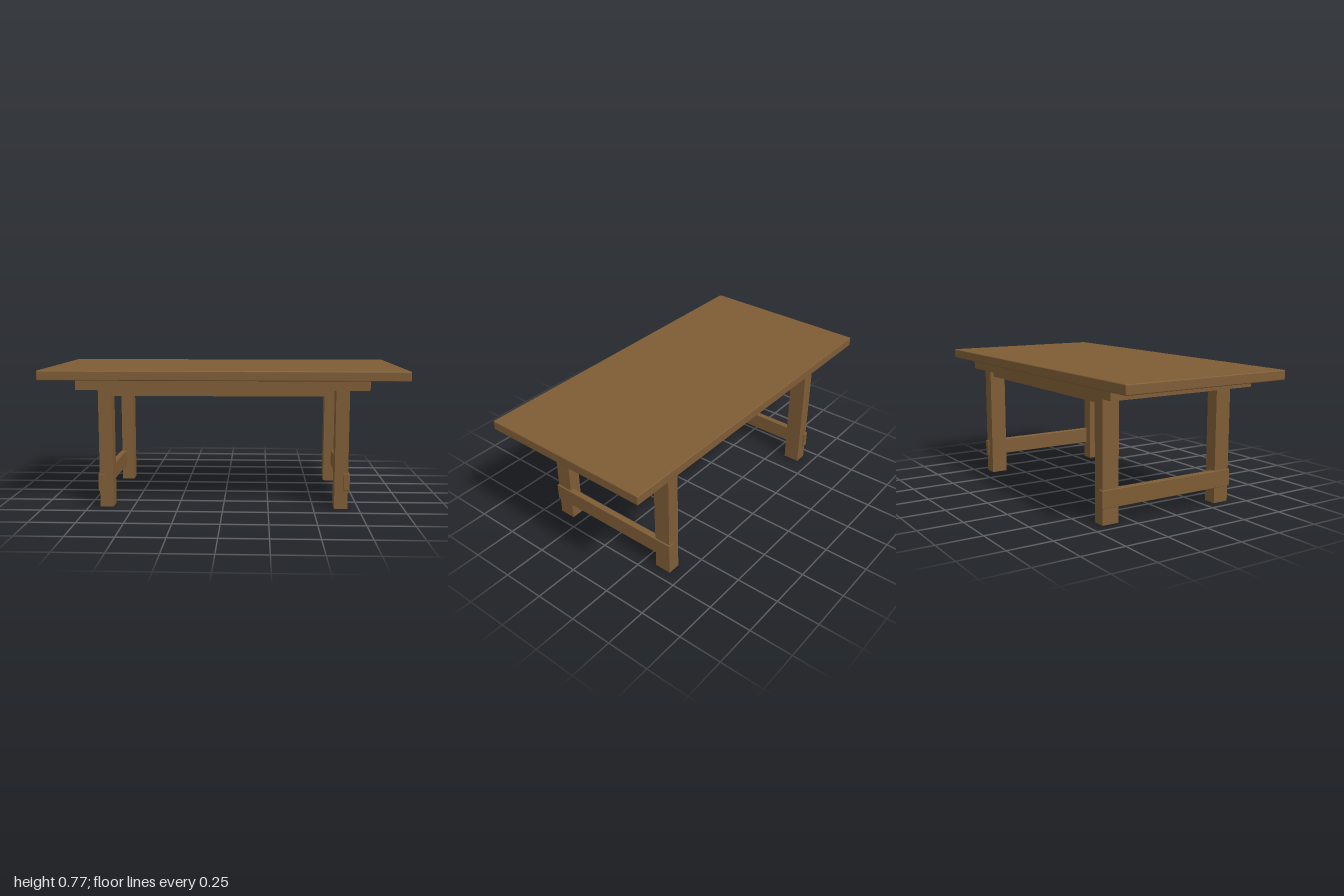
import * as THREE from 'three';
import { RoundedBoxGeometry } from 'three/addons/geometries/RoundedBoxGeometry.js';

export function createModel() {
  const table = new THREE.Group();
  table.name = 'table';
  const wood = new THREE.MeshStandardMaterial({ color: 0x7d5c35 });
  wood.name = 'brown wood';

  // Adds a board given its extents on each axis; a radius softens its edges
  function board(name, [x0, x1], [y0, y1], [z0, z1], radius = 0) {
    const size = [x1 - x0, y1 - y0, z1 - z0];
    const geometry = radius
      ? new RoundedBoxGeometry(...size, 2, radius)
      : new THREE.BoxGeometry(...size);
    const mesh = new THREE.Mesh(geometry, wood);
    mesh.name = name;
    mesh.position.set((x0 + x1) / 2, (y0 + y1) / 2, (z0 + z1) / 2);
    table.add(mesh);
  }

  // Top and the two stepped slabs beneath it
  board('tableTop', [-1, 1], [0.715, 0.769], [-0.505, 0.505], 0.006);
  board('upperApron', [-0.8, 0.792], [0.66, 0.716], [-0.455, 0.457]);
  board('lowerApron', [-0.612, 0.607], [0.622, 0.661], [-0.41, 0.39]);

  // Legs, and one stretcher across the outside of each pair
  const ends = [
    { side: 'right', leg: [-0.687, -0.613], rail: [-0.695, -0.66], railY: [0.089, 0.186] },
    { side: 'left', leg: [0.615, 0.689], rail: [0.662, 0.698], railY: [0.104, 0.2] },
  ];
  for (const { side, leg, rail, railY } of ends) {
    board(side + 'FrontLeg', leg, [0, 0.661], [0.313, 0.409]);
    board(side + 'BackLeg', leg, [0, 0.661], [-0.427, -0.33]);
    board(side + 'Stretcher', rail, railY, [-0.434, 0.415], 0.003);
  }
  return table;
}
